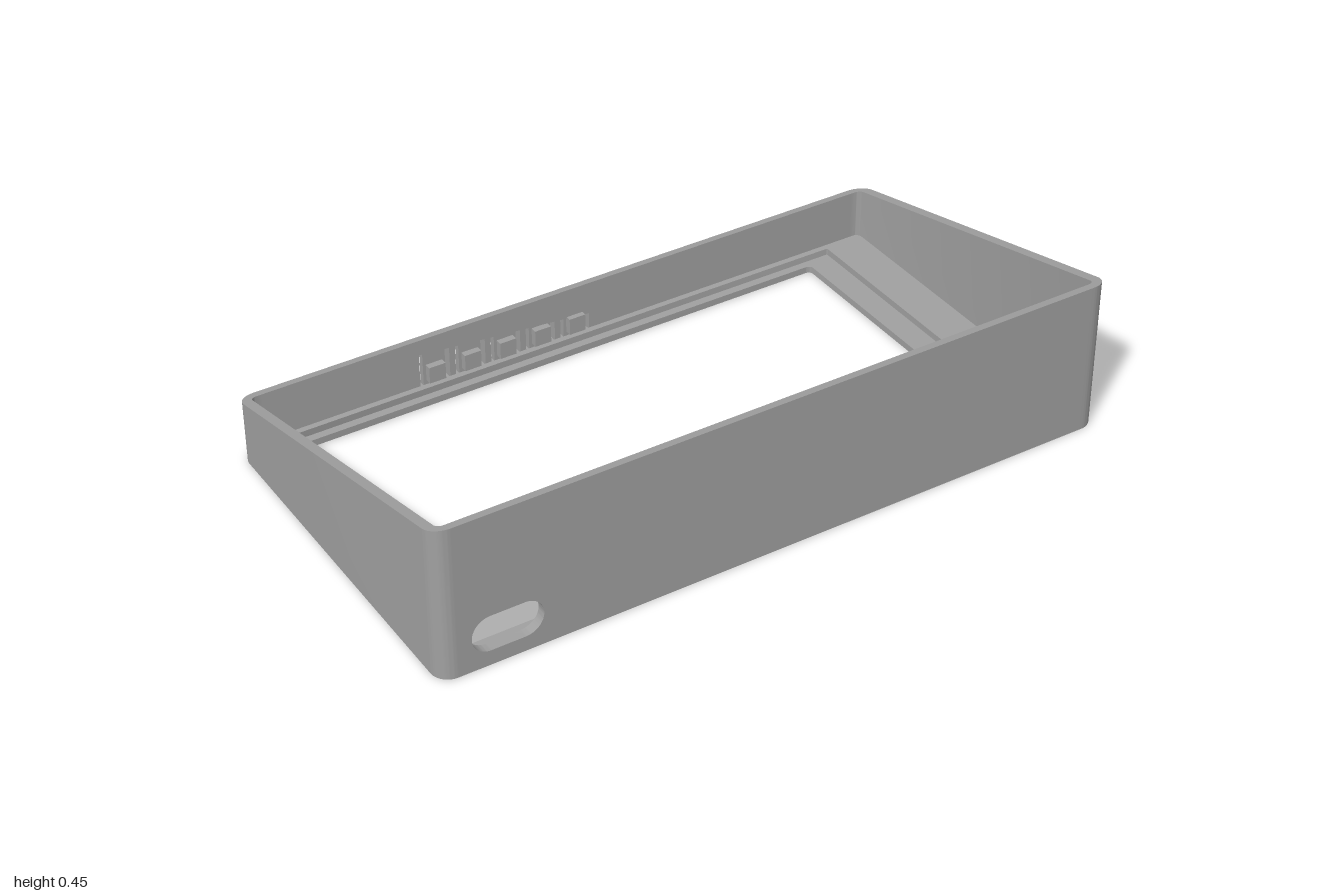
import * as THREE from 'three';
import { toCreasedNormals } from 'three/addons/utils/BufferGeometryUtils.js';

const W = 1, D = 0.548, T = 0.028; // half width, half depth, wall thickness
const SPLIT = 0.94;                // where the straight walls meet the rounded ends
const rimHeight = (z) => 0.316 + 0.2477 * z;

const grey = new THREE.MeshStandardMaterial({ color: 0xa0a0a0 });
grey.name = 'grey plastic';

// Pull every vertex of the tall blank down to the sloping rim
function slopeTop(geo) {
  const p = geo.attributes.position;
  for (let i = 0; i < p.count; i++) {
    if (p.getY(i) > 0.6) p.setY(i, rimHeight(p.getZ(i)));
  }
  return geo;
}

function roundedRect(path, x0, y0, x1, y1, r) {
  path.moveTo(x0 + r, y0);
  path.lineTo(x1 - r, y0);
  path.absarc(x1 - r, y0 + r, r, -Math.PI / 2, 0);
  path.lineTo(x1, y1 - r);
  path.absarc(x1 - r, y1 - r, r, 0, Math.PI / 2);
  path.lineTo(x0 + r, y1);
  path.absarc(x0 + r, y1 - r, r, Math.PI / 2, Math.PI);
  path.lineTo(x0, y0 + r);
  path.absarc(x0 + r, y0 + r, r, Math.PI, Math.PI * 1.5);
  return path;
}

const extrude = (shape, depth) =>
  new THREE.ExtrudeGeometry(shape, { depth, bevelEnabled: false, curveSegments: 10 });

export function createModel() {
  const model = new THREE.Group();
  model.name = 'slopedEnclosure';
  const add = (name, geo) => {
    const mesh = new THREE.Mesh(toCreasedNormals(geo, 0.5), grey);
    mesh.name = name;
    model.add(mesh);
    return mesh;
  };

  // Side walls with their rounded corners
  for (const side of [1, -1]) {
    const R = 0.05, r = 0.018, wi = W - T, di = D - T;
    const s = new THREE.Shape();
    s.moveTo(SPLIT, -D);
    s.lineTo(W - R, -D);
    s.absarc(W - R, -D + R, R, -Math.PI / 2, 0);
    s.lineTo(W, D - R);
    s.absarc(W - R, D - R, R, 0, Math.PI / 2);
    s.lineTo(SPLIT, D);
    s.lineTo(SPLIT, di);
    s.lineTo(wi - r, di);
    s.absarc(wi - r, di - r, r, Math.PI / 2, 0, true);
    s.lineTo(wi, -di + r);
    s.absarc(wi - r, -di + r, r, 0, -Math.PI / 2, true);
    s.lineTo(SPLIT, -di);
    const geo = extrude(s, 1).rotateX(-Math.PI / 2);
    if (side < 0) geo.rotateY(Math.PI);
    add(side > 0 ? 'leftWall' : 'rightWall', slopeTop(geo));
  }

  const wallShape = () => new THREE.Shape([
    new THREE.Vector2(-SPLIT, 0), new THREE.Vector2(SPLIT, 0),
    new THREE.Vector2(SPLIT, 1), new THREE.Vector2(-SPLIT, 1),
  ]);

  // Front wall with the cable slot
  const front = wallShape();
  front.holes.push(roundedRect(new THREE.Path(), -0.91, 0.044, -0.71, 0.15, 0.0529));
  add('frontWall', slopeTop(extrude(front, T).translate(0, 0, D - T)));

  // Back wall with five button windows, cut below the rim
  const back = wallShape();
  const centres = [0, 1, 2, 3, 4].map((i) => -0.43 + i * 0.11);
  const bw = 0.046, b0 = 0.035, b1 = 0.15;
  for (const x of centres) {
    back.holes.push(new THREE.Path([
      new THREE.Vector2(x - bw, b0), new THREE.Vector2(x + bw, b0),
      new THREE.Vector2(x + bw, b1), new THREE.Vector2(x - bw, b1),
    ]));
  }
  add('backWall', slopeTop(extrude(back, T).translate(0, 0, -D)));

  // Flexible button tabs hinged at the bottom, each with an inner nub
  for (const x of centres) {
    const h = b1 - b0 - 0.012;
    add('buttonTab', new THREE.BoxGeometry(0.068, h, 0.018))
      .position.set(x, b0 + h / 2, -D + 0.015);
    add('buttonNub', new THREE.BoxGeometry(0.05, 0.05, 0.022))
      .position.set(x, 0.075, -D + 0.033);
  }

  // Stepped floor: upper frame around the recess, lower frame around the opening
  const floorFrame = (name, y, height, x0, z0, x1, z1, r) => {
    const s = roundedRect(new THREE.Shape(), -W + T, -D + T, W - T, D - T, 0.018);
    s.holes.push(roundedRect(new THREE.Path(), x0, -z1, x1, -z0, r));
    add(name, extrude(s, height).rotateX(-Math.PI / 2).translate(0, y, 0));
  };
  floorFrame('bezel', 0, 0.02, -0.932, -0.478, 0.775, 0.475, 0.015);
  floorFrame('screenLedge', 0.02, 0.02, -0.957, -0.502, 0.85, 0.498, 0.004);

  return model;
}
